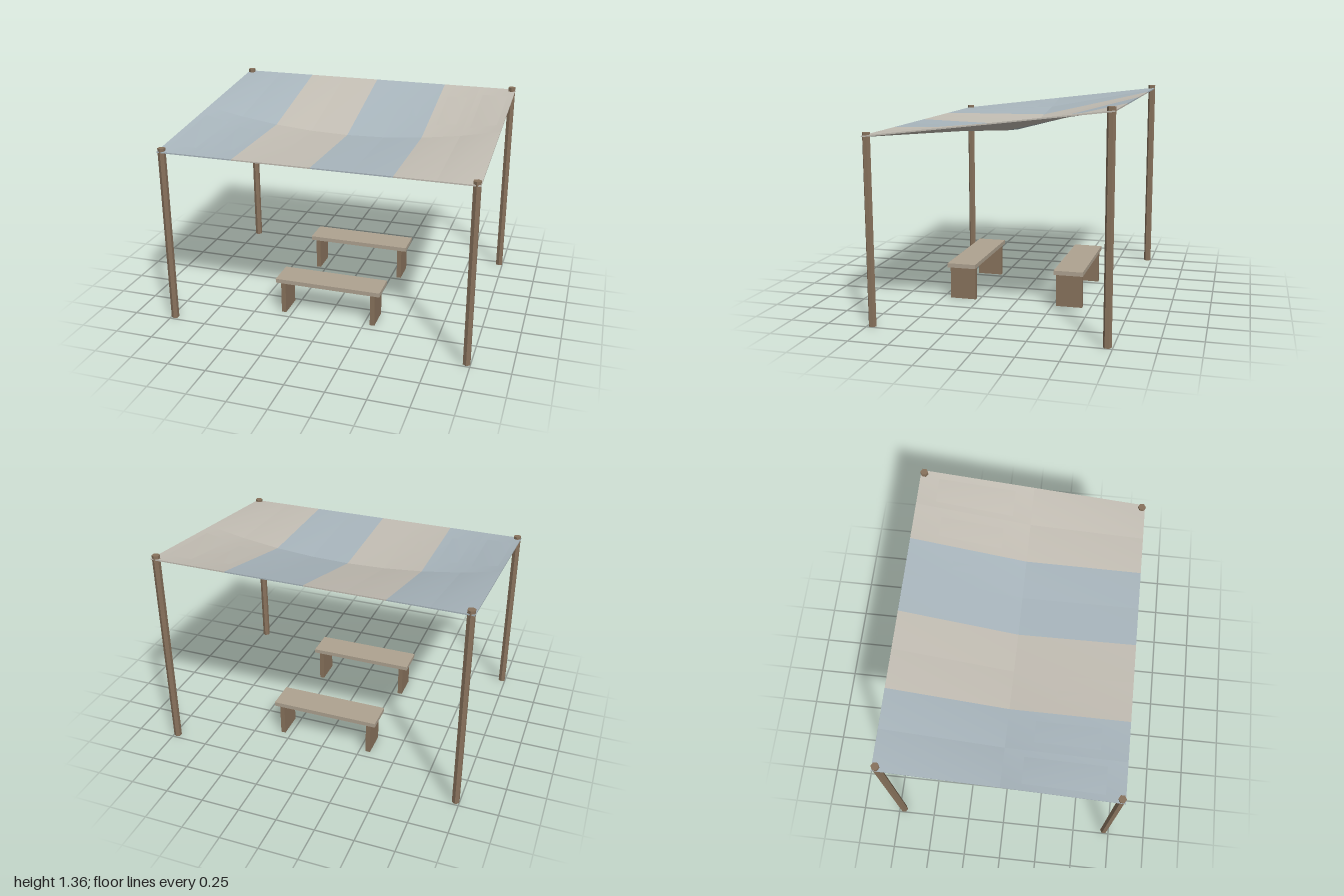
import * as THREE from 'three';

const flat = (color) => new THREE.MeshStandardMaterial({ color, flatShading: true });
const fabric = (color) => new THREE.MeshStandardMaterial({ color, side: THREE.DoubleSide });

export function createModel() {
  const model = new THREE.Group();
  const wood = flat(0x88725c);
  const plank = flat(0xaea290);
  const cloth = [fabric(0xa9b6bd), fabric(0xc3beb4)];

  const add = (parent, name, geometry, material, x, y, z) => {
    const mesh = new THREE.Mesh(geometry, material);
    mesh.name = name;
    mesh.position.set(x, y, z);
    parent.add(mesh);
  };

  // Hexagonal posts, the back pair taller
  for (const [end, z, height] of [['front', 0.718, 1.18], ['back', -0.718, 1.36]]) {
    for (const [side, x] of [['Left', 0.976], ['Right', -0.976]]) {
      add(model, `${end}${side}Post`, new THREE.CylinderGeometry(0.025, 0.025, height, 6), wood, x, height / 2, z);
    }
  }

  // Sloping canopy that sags along its middle line, creased between panels
  const depth = 1.48, thickness = 0.008;
  const canopyHeight = (x, z) => 1.247 - 0.1216 * z - 0.112 * (1 - x * x) * (1 - Math.abs(z) / (depth / 2));
  const canopy = new THREE.Group();
  canopy.name = 'canopy';
  for (let i = 0; i < 8; i++) {
    for (const [end, z] of [['Front', depth / 4], ['Back', -depth / 4]]) {
      const geometry = new THREE.BoxGeometry(0.25, thickness, depth / 2);
      geometry.translate(-0.875 + i * 0.25, 0, z);
      const p = geometry.attributes.position;
      for (let v = 0; v < p.count; v++) p.setY(v, p.getY(v) + canopyHeight(p.getX(v), p.getZ(v)));
      geometry.computeVertexNormals();
      add(canopy, `canopy${end}Panel${i + 1}`, geometry, cloth[Math.floor(i / 2) % 2], 0, 0, 0);
    }
  }
  model.add(canopy);

  // Two benches with slab legs
  for (const [name, z] of [['frontBench', 0.36], ['backBench', -0.36]]) {
    const bench = new THREE.Group();
    bench.name = name;
    bench.position.z = z;
    add(bench, 'seat', new THREE.BoxGeometry(0.712, 0.028, 0.192), plank, 0, 0.232, 0);
    for (const x of [-0.307, 0.307]) {
      add(bench, x > 0 ? 'leftLeg' : 'rightLeg', new THREE.BoxGeometry(0.031, 0.218, 0.173), wood, x, 0.109, 0);
    }
    model.add(bench);
  }
  return model;
}
